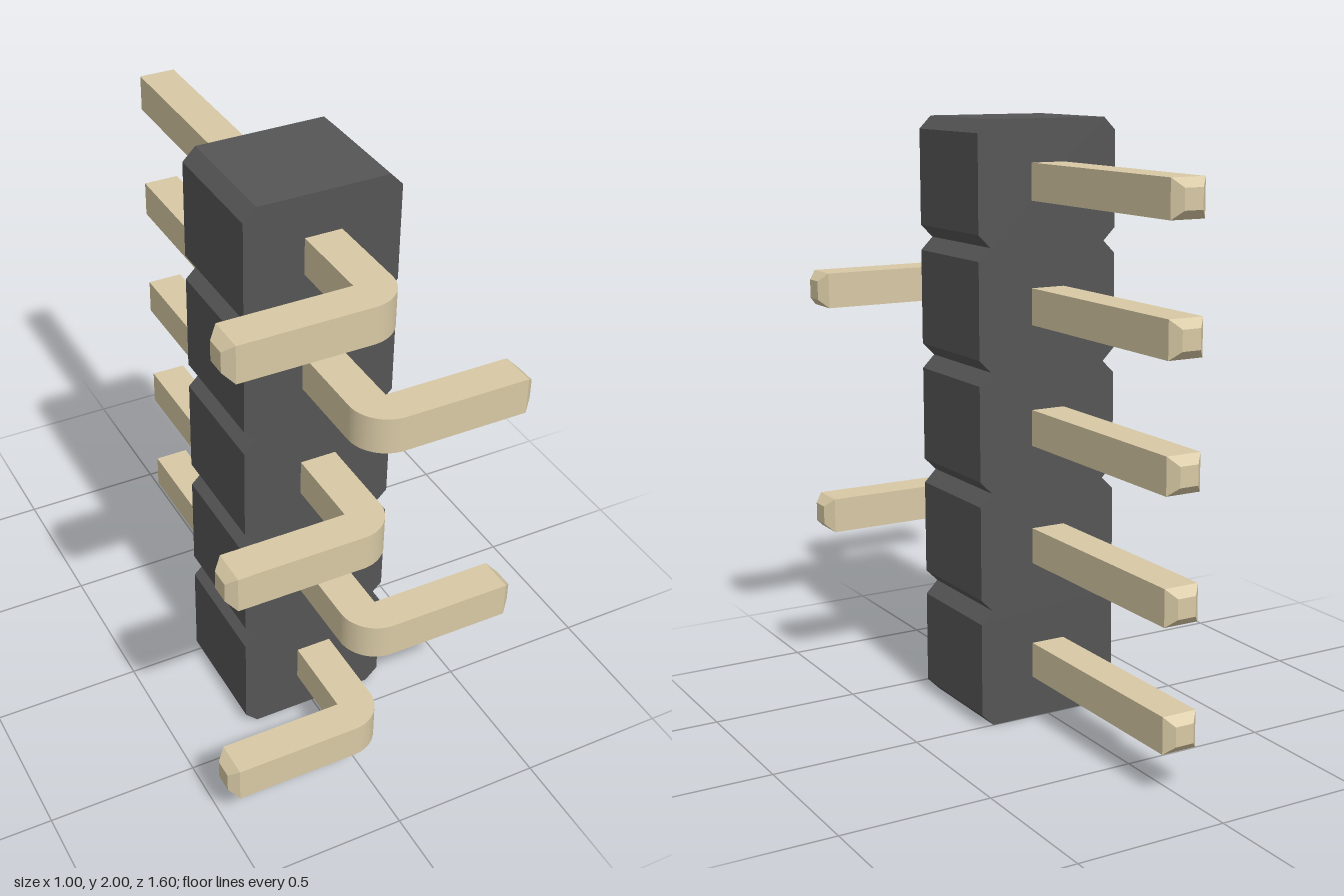
import * as THREE from 'three';

const PITCH = 0.4, COUNT = 5;
const HALF_W = 0.254, CHAMFER = 0.042, DEPTH = 0.4;
const PIN = 0.06;    // half thickness of a pin
const TIP = 0.03;    // length of the tapered pin ends

const plastic = new THREE.MeshStandardMaterial({ color: 0x555555, flatShading: true });
const metal = new THREE.MeshStandardMaterial({ color: 0xd8c9a5, flatShading: true });

function named(name, geometry, material) {
  const mesh = new THREE.Mesh(geometry, material);
  mesh.name = name;
  return mesh;
}

// Housing: a strip of chamfered blocks, notched between neighbours
function makeHousing() {
  const side = [];
  for (let i = 0; i < COUNT; i++) {
    const y0 = i * PITCH, y1 = y0 + PITCH, inner = HALF_W - CHAMFER;
    side.push([inner, y0], [HALF_W, y0 + CHAMFER], [HALF_W, y1 - CHAMFER]);
  }
  side.push([HALF_W - CHAMFER, COUNT * PITCH]);
  const outline = [...side, ...side.map(([x, y]) => [-x, y]).reverse()];
  const shape = new THREE.Shape(outline.map(([x, y]) => new THREE.Vector2(x, y)));
  return named('housing', new THREE.ExtrudeGeometry(shape, { depth: DEPTH, bevelEnabled: false }), plastic);
}

// Square frustum, base at the origin, narrowing towards +y
function makeTipGeometry() {
  const tip = new THREE.CylinderGeometry(0.032 * Math.SQRT2, PIN * Math.SQRT2, TIP, 4);
  return tip.rotateY(Math.PI / 4).translate(0, TIP / 2, 0);
}

// Pin: straight at the back, bent towards -x in front with a rounded outer corner
function makePin() {
  const pin = new THREE.Group();
  const back = -0.8 + TIP, end = -0.5 + TIP, front = 0.8;
  const bend = front - 2 * PIN;

  const shape = new THREE.Shape();
  shape.moveTo(-PIN, back);
  shape.lineTo(PIN, back);
  shape.lineTo(PIN, bend);
  shape.absarc(-PIN, bend, 2 * PIN, 0, Math.PI / 2, false);
  shape.lineTo(end, front);
  shape.lineTo(end, bend);
  shape.lineTo(-PIN, bend);
  const geometry = new THREE.ExtrudeGeometry(shape, { depth: 2 * PIN, bevelEnabled: false, curveSegments: 12 });
  geometry.translate(0, 0, -PIN).rotateX(Math.PI / 2);
  pin.add(named('pinShaft', geometry, metal));

  const backTip = named('backTip', makeTipGeometry(), metal);
  backTip.rotation.x = -Math.PI / 2;
  backTip.position.z = back;
  const footTip = named('footTip', makeTipGeometry(), metal);
  footTip.rotation.z = Math.PI / 2;
  footTip.position.set(end, 0, front - PIN);
  pin.add(backTip, footTip);
  return pin;
}

export function createModel() {
  const model = new THREE.Group();
  model.name = 'pinHeader';
  model.add(makeHousing());

  // Pins alternate between bending right and left
  for (let i = 0; i < COUNT; i++) {
    const pin = makePin();
    pin.name = `pin${i + 1}`;
    pin.position.y = (i + 0.5) * PITCH + 0.002;
    if (i % 2) pin.rotation.z = Math.PI;
    model.add(pin);
  }
  return model;
}
